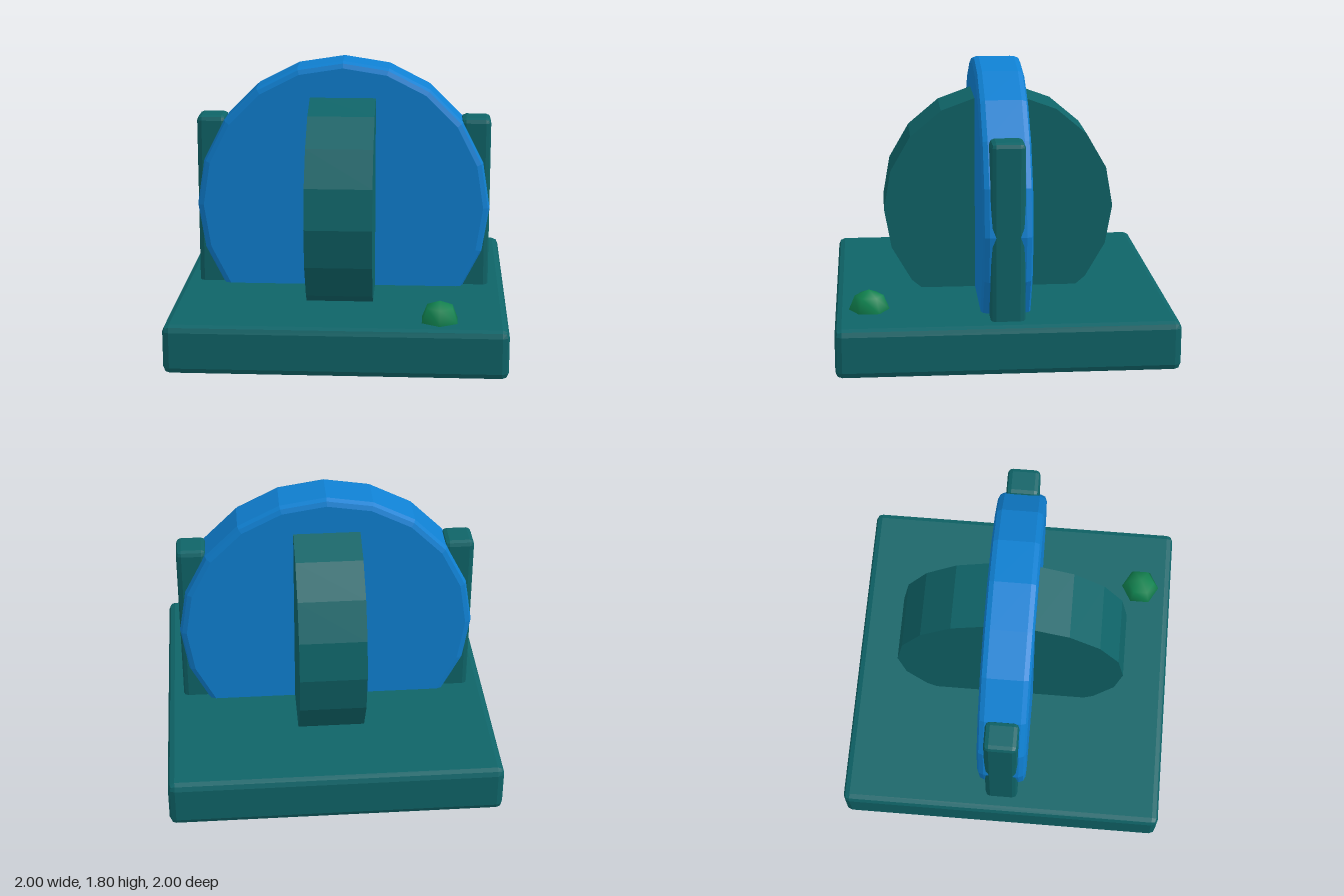
import * as THREE from 'three';
import { RoundedBoxGeometry } from 'three/addons/geometries/RoundedBoxGeometry.js';

const material = (name, color) => {
  const m = new THREE.MeshStandardMaterial({ color });
  m.name = name;
  return m;
};

// Gives every facet its own normal
function faceted(geometry) {
  const g = geometry.index ? geometry.toNonIndexed() : geometry;
  g.computeVertexNormals();
  return g;
}

export function createModel() {
  const teal = material('teal', 0x0f6468);
  const blue = material('blue', 0x0f80d2);
  const green = material('green', 0x10824f);
  const model = new THREE.Group();
  model.name = 'wheelStand';

  const add = (name, geometry, mat, x, y, z) => {
    const mesh = new THREE.Mesh(geometry, mat);
    mesh.name = name;
    mesh.position.set(x, y, z);
    model.add(mesh);
  };

  // Square base slab with softened edges
  add('base', faceted(new RoundedBoxGeometry(2, 0.295, 2, 1, 0.04)), teal, 0, 0.2525, 0);

  // Upright posts either side of the disc, sunk into the base
  for (const side of [-1, 1]) {
    const post = faceted(new RoundedBoxGeometry(0.18, 1.15, 0.2, 1, 0.03));
    add(side > 0 ? 'leftPost' : 'rightPost', post, teal, side * 0.81, 0.875, 0);
  }

  // Large disc facing the front, with a bevelled rim
  const rim = [[0, -0.147], [0.86, -0.147], [0.888, -0.135], [0.9, -0.107],
    [0.9, 0.107], [0.888, 0.135], [0.86, 0.147], [0, 0.147]];
  const disc = new THREE.LatheGeometry(rim.map(([r, h]) => new THREE.Vector2(r, h)), 20);
  disc.rotateX(Math.PI / 2);
  add('disc', faceted(disc), blue, 0, 0.9, 0);

  // Smaller wheel crossing the disc at a right angle
  const wheel = new THREE.CylinderGeometry(0.7, 0.7, 0.4, 18);
  wheel.rotateZ(Math.PI / 2);
  add('crossWheel', faceted(wheel), teal, 0, 0.9, 0);

  // Small round button at the front corner
  const button = new THREE.SphereGeometry(0.12, 6, 4);
  button.rotateY(Math.PI / 2);
  add('button', button, green, 0.6, 0.4, 0.8);

  return model;
}
